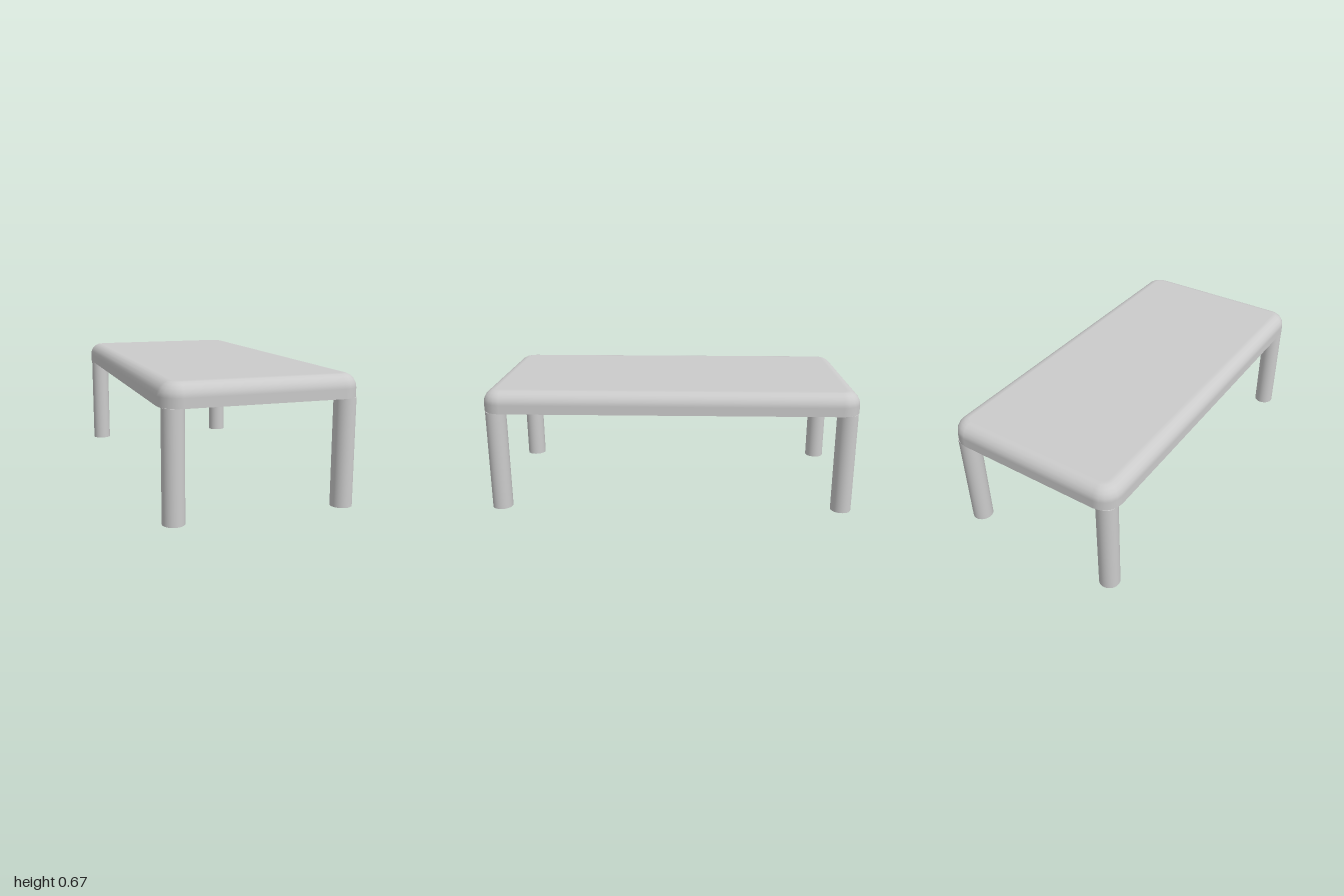
import * as THREE from 'three';

const HALF_X = 0.5, HALF_Z = 1, BOTTOM = 0.55, TOP = 0.667;
const CORNER = 0.1, EDGE = 0.07, STEPS = 5;
const LEG_RADIUS = 0.055, LEG_X = 0.435, LEG_Z = 0.935;

// Slab with rounded plan corners, a rounded upper edge and a sharp, flat underside
function roundedSlab() {
  const positions = [], normals = [], indices = [];

  // One rounded-rectangle loop; tilt is the angle of its normal above horizontal
  function addLoop(y, inset, tilt) {
    const start = positions.length / 3;
    const r = CORNER - inset;
    const corners = [[1, 1], [-1, 1], [-1, -1], [1, -1]];
    corners.forEach(([sx, sz], q) => {
      for (let i = 0; i <= STEPS; i++) {
        const a = (q + i / STEPS) * Math.PI / 2;
        const c = Math.cos(a), s = Math.sin(a);
        positions.push(sx * (HALF_X - CORNER) + r * c, y, sz * (HALF_Z - CORNER) + r * s);
        normals.push(c * Math.cos(tilt), Math.sin(tilt), s * Math.cos(tilt));
      }
    });
    return start;
  }

  const count = 4 * (STEPS + 1);

  // Side wall and rounded edge
  let previous = addLoop(BOTTOM, 0, 0);
  for (let k = 0; k <= STEPS; k++) {
    const t = k / STEPS * Math.PI / 2;
    const next = addLoop(TOP - EDGE + EDGE * Math.sin(t), EDGE * (1 - Math.cos(t)), t);
    for (let i = 0; i < count; i++) {
      const j = (i + 1) % count;
      indices.push(previous + i, next + i, previous + j, previous + j, next + i, next + j);
    }
    previous = next;
  }

  // Flat top and underside
  const underside = addLoop(BOTTOM, 0, -Math.PI / 2);
  for (let i = 1; i < count - 1; i++) {
    indices.push(previous, previous + i + 1, previous + i);
    indices.push(underside, underside + i, underside + i + 1);
  }

  const geometry = new THREE.BufferGeometry();
  geometry.setAttribute('position', new THREE.Float32BufferAttribute(positions, 3));
  geometry.setAttribute('normal', new THREE.Float32BufferAttribute(normals, 3));
  geometry.setIndex(indices);
  return geometry;
}

export function createModel() {
  const table = new THREE.Group();
  table.name = 'table';
  const material = new THREE.MeshStandardMaterial({ color: 0xcccccc });

  const top = new THREE.Mesh(roundedSlab(), material);
  top.name = 'tableTop';
  table.add(top);

  // Four round legs, one under each corner
  const legGeometry = new THREE.CylinderGeometry(LEG_RADIUS, LEG_RADIUS, BOTTOM, 32);
  for (const [sideName, sx] of [['Left', 1], ['Right', -1]]) {
    for (const [endName, sz] of [['front', 1], ['back', -1]]) {
      const leg = new THREE.Mesh(legGeometry, material);
      leg.name = `${endName}${sideName}Leg`;
      leg.position.set(sx * LEG_X, BOTTOM / 2, sz * LEG_Z);
      table.add(leg);
    }
  }
  return table;
}
